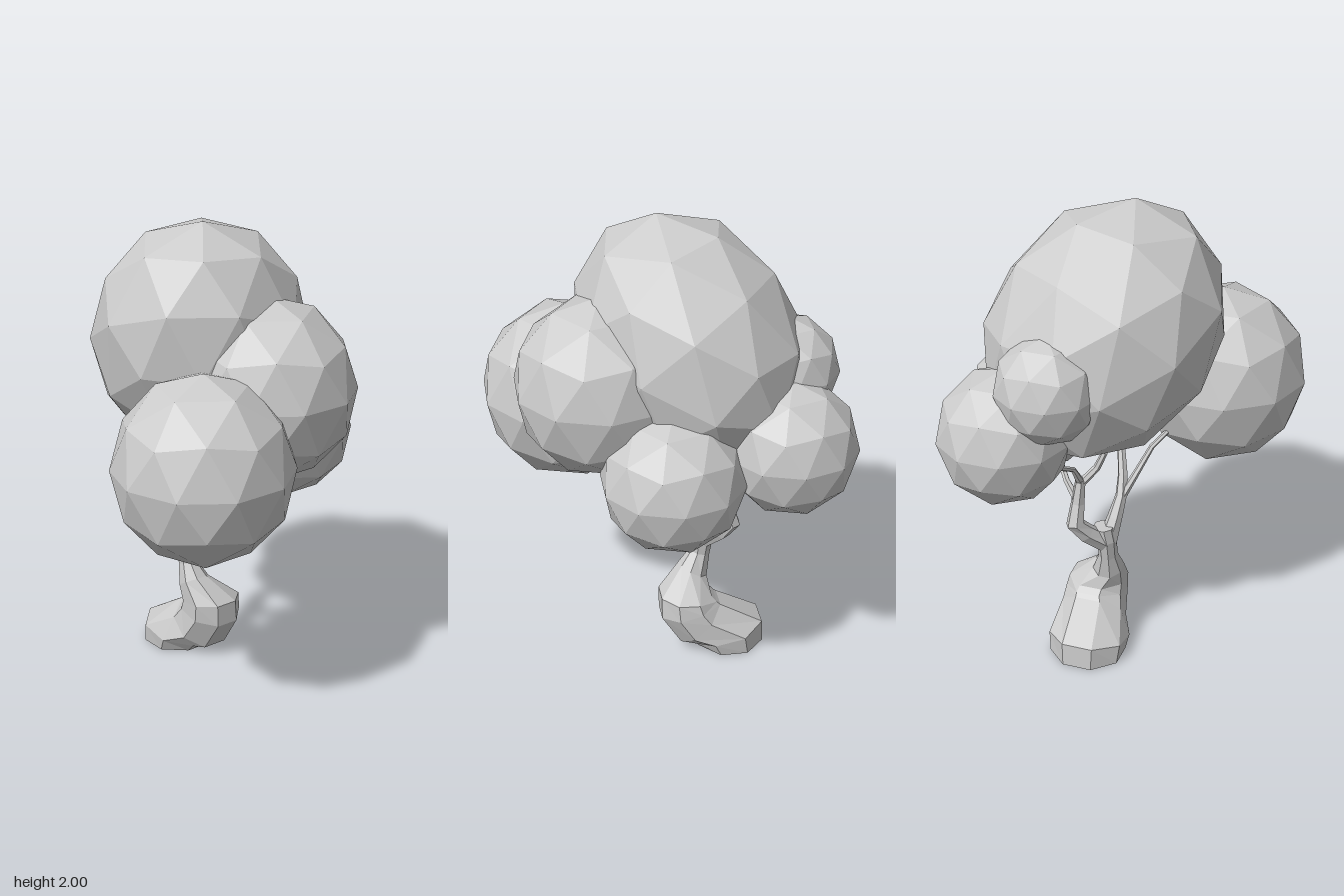
import * as THREE from 'three';

const wood = new THREE.MeshStandardMaterial({ color: 0xcccccc, flatShading: true });
const leaf = new THREE.MeshStandardMaterial({ color: 0xcccccc, flatShading: true });

// Faceted limb lofted through rings [x, y, z, radius, depthRadius?, tilt?]; tilt leans the ring toward +x
function limb(name, rings, sides) {
  const centres = rings.map(r => new THREE.Vector3(r[0], r[1], r[2]));
  const last = rings.length - 1;
  const pos = [], index = [];
  rings.forEach(([, , , r, rz = r, tilt], i) => {
    const n = tilt !== undefined
      ? new THREE.Vector3(Math.sin(tilt), Math.cos(tilt), 0)
      : centres[Math.min(i + 1, last)].clone().sub(centres[Math.max(i - 1, 0)]).normalize();
    const u = new THREE.Vector3(1, 0, 0).addScaledVector(n, -n.x).normalize();
    const v = n.clone().cross(u);
    for (let k = 0; k < sides; k++) {
      const a = ((k + 0.5) / sides) * Math.PI * 2;
      const p = centres[i].clone().addScaledVector(u, r * Math.cos(a)).addScaledVector(v, rz * Math.sin(a));
      pos.push(p.x, Math.max(0, p.y), p.z);
    }
  });
  for (let i = 0; i < last; i++) {
    for (let k = 0; k < sides; k++) {
      const a = i * sides + k, b = i * sides + (k + 1) % sides;
      index.push(a, b, a + sides, b, b + sides, a + sides);
    }
  }
  // end caps
  for (let k = 1; k < sides - 1; k++) {
    const t = last * sides;
    index.push(0, k + 1, k, t, t + k, t + k + 1);
  }
  const g = new THREE.BufferGeometry();
  g.setAttribute('position', new THREE.Float32BufferAttribute(pos, 3));
  g.setIndex(index);
  g.computeVertexNormals();
  const mesh = new THREE.Mesh(g, wood);
  mesh.name = name;
  return mesh;
}

// Faceted ball with one corner pointing straight up
function ball(r, ry) {
  return new THREE.IcosahedronGeometry(1, 1)
    .rotateZ(-Math.atan(2 / (1 + Math.sqrt(5))))
    .scale(r, ry, r);
}

export function createModel() {
  const tree = new THREE.Group();
  tree.name = 'tree';

  // Trunk sweeps sideways from its base, then bends upright
  tree.add(limb('trunk', [
    [-0.28, 0, -0.06, 0.155, 0.165, 0],
    [-0.26, 0.07, -0.06, 0.175, 0.175, 0.2],
    [-0.14, 0.13, -0.08, 0.135, 0.145, 0.8],
    [-0.09, 0.205, -0.085, 0.135, 0.135, 0.25],
    [-0.08, 0.265, -0.08, 0.12, 0.13, -0.05],
    [-0.125, 0.35, -0.02, 0.068, 0.068, -0.5],
    [-0.155, 0.43, -0.01, 0.045, 0.04, -0.25],
    [-0.165, 0.51, -0.012, 0.05, 0.042, 0],
    [-0.17, 0.575, -0.025, 0.05, 0.045, 0],
  ], 8));

  // Two main forks and the twigs they carry
  const branches = {
    rightFork: [[-0.175, 0.5, -0.02, 0.042], [-0.235, 0.57, -0.08, 0.042], [-0.272, 0.63, -0.115, 0.04],
      [-0.25, 0.72, -0.11, 0.03], [-0.24, 0.83, -0.1, 0.022]],
    leftFork: [[-0.165, 0.5, -0.01, 0.042], [-0.125, 0.6, 0.01, 0.033], [-0.085, 0.69, 0.025, 0.025],
      [-0.05, 0.77, 0.02, 0.022], [-0.01, 0.87, 0, 0.018], [0.01, 0.98, -0.02, 0.014], [0.06, 1.08, -0.03, 0.01]],
    frontTwig: [[-0.09, 0.68, 0.025, 0.02], [-0.04, 0.77, 0.07, 0.015], [0.04, 0.88, 0.12, 0.012], [0.16, 0.96, 0.2, 0.01]],
    leftTwig: [[-0.03, 0.82, 0.01, 0.016], [0.03, 0.9, -0.02, 0.012], [0.13, 0.99, -0.06, 0.01]],
    outerTwig: [[-0.24, 0.82, -0.1, 0.018], [-0.3, 0.91, -0.11, 0.012], [-0.39, 0.96, -0.13, 0.01], [-0.44, 1.02, -0.2, 0.008]],
    innerTwig: [[-0.24, 0.81, -0.1, 0.018], [-0.205, 0.88, -0.04, 0.016], [-0.195, 0.95, -0.01, 0.014], [-0.21, 1.04, -0.03, 0.012]],
    backTwig: [[-0.25, 0.73, -0.11, 0.02], [-0.22, 0.8, -0.17, 0.014], [-0.14, 0.88, -0.24, 0.012], [-0.08, 0.95, -0.3, 0.01]],
  };
  for (const [name, rings] of Object.entries(branches)) tree.add(limb(name, rings, 6));

  // Side clumps of foliage: x, y, z, radius, half height
  const clumps = {
    frontLeftFoliage: [0.375, 1.115, 0.32, 0.37, 0.395],
    leftFoliage: [0.278, 1.335, -0.1, 0.36, 0.385],
    backFoliage: [0.025, 1.03, -0.39, 0.3, 0.3],
    backRightFoliage: [-0.464, 1.12, -0.34, 0.28, 0.29],
    smallRightFoliage: [-0.48, 1.37, -0.14, 0.22, 0.23],
  };
  for (const [name, [x, y, z, r, ry]] of Object.entries(clumps)) {
    const mesh = new THREE.Mesh(ball(r, ry), leaf);
    mesh.name = name;
    mesh.position.set(x, y, z);
    tree.add(mesh);
  }

  // Large crown, stretched toward its upper front left
  const lean = new THREE.Quaternion().setFromUnitVectors(
    new THREE.Vector3(0, 1, 0), new THREE.Vector3(0.56, 0.72, 0.39).normalize());
  const crownShape = ball(0.47, 0.58).applyQuaternion(lean).scale(0.94, 1, 1);
  crownShape.computeBoundingBox();
  const crown = new THREE.Mesh(crownShape, leaf);
  crown.name = 'crown';
  crown.position.set(-0.1, 2 - crownShape.boundingBox.max.y, -0.04);
  tree.add(crown);

  return tree;
}
